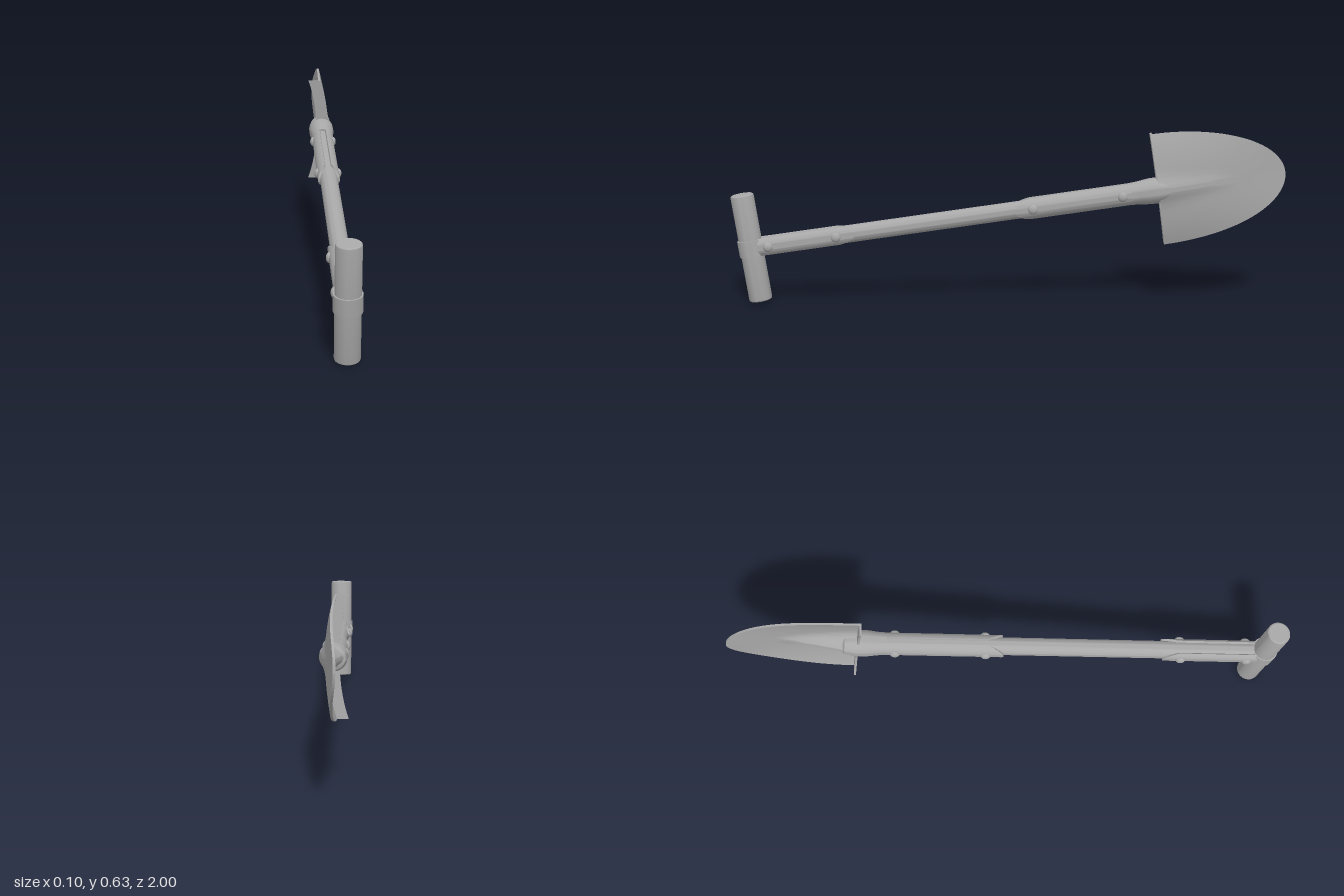
import * as THREE from 'three';
import { toCreasedNormals } from 'three/addons/utils/BufferGeometryUtils.js';

const metal = new THREE.MeshStandardMaterial({ color: 0xa8a8a8 });
metal.name = 'plain grey';

// Closed plate between an outer and an inner surface.
// Each surface is a function of t (0..1 along) and u (-1..1 across) giving [x, y, z].
function plate(rows, cols, outer, inner) {
  const pos = [], index = [], ring = 2 * (cols + 1);
  for (let i = -1; i <= rows + 1; i++) {
    const t = Math.min(Math.max(i / rows, 0), 1);
    const top = i < 0 || i > rows ? inner : outer; // end rings fold to the inner surface
    for (let j = 0; j <= cols; j++) pos.push(...top(t, (2 * j) / cols - 1));
    for (let j = cols; j >= 0; j--) pos.push(...inner(t, (2 * j) / cols - 1));
  }
  for (let i = 0; i < rows + 2; i++) {
    for (let j = 0; j < ring; j++) {
      const a = i * ring + j, b = i * ring + (j + 1) % ring;
      index.push(a, a + ring, b, b, a + ring, b + ring);
    }
  }
  const g = new THREE.BufferGeometry();
  g.setAttribute('position', new THREE.Float32BufferAttribute(pos, 3));
  g.setIndex(index);
  return toCreasedNormals(g, 0.7);
}

// Round part turned about the shaft: points are [radius, distance along shaft]
function turned(points) {
  const g = new THREE.LatheGeometry(points.map(([r, s]) => new THREE.Vector2(r, s)), 32);
  return toCreasedNormals(g.rotateX(-Math.PI / 2), 0.6);
}

// Curved strap hugging the +x side of the shaft, with one rounded end
function strap(s0, s1, halfAngle, roundStart) {
  const surface = (r) => (t, u) => {
    const round = 0.06 * u * u;
    const a = roundStart ? s0 + round : s0;
    const b = roundStart ? s1 : s1 - round;
    const phi = u * halfAngle;
    return [r * Math.cos(phi), r * Math.sin(phi), -(a + (b - a) * t)];
  };
  return plate(6, 16, surface(0.040), surface(0.029));
}

// Dished blade: middle surface, outline and the swelling that carries on from the neck
const START = 1.492, LENGTH = 0.46, HALF = 0.203;
const dish = (v) => 0.022 - 0.03 * Math.pow(Math.abs(v) / HALF, 2.3);
function bladeSurface(side, swell) {
  return (t, u) => {
    const along = Math.sin(t * Math.PI / 2);
    const v = HALF * Math.cos(t * Math.PI / 2) * Math.sign(u) * Math.pow(Math.abs(u), 1.4);
    const fade = Math.max(0, 1 - along / 0.62);
    const width = 0.018 + 0.022 * fade;
    const bump = swell * fade * Math.exp(-Math.pow(v / width, 2));
    const droop = 0.034 * along * along * (1 - Math.pow(v / HALF, 2));
    return [dish(v) - droop + side * (0.004 + bump), v, -(START + LENGTH * along)];
  };
}

// Foot rest following the dished edge of the blade
function footRest() {
  const pts = [];
  const n = 20;
  for (let i = 0; i <= n; i++) {
    const v = HALF * (2 * i / n - 1);
    pts.push(new THREE.Vector2(dish(v) + 0.004, v));
  }
  for (let i = n; i >= 0; i--) {
    const v = HALF * (2 * i / n - 1);
    pts.push(new THREE.Vector2(dish(v) - 0.042, v));
  }
  const g = new THREE.ExtrudeGeometry(new THREE.Shape(pts), { depth: 0.008, bevelEnabled: false });
  return toCreasedNormals(g.translate(0, 0, -START - 0.004), 0.6);
}

export function createModel() {
  const model = new THREE.Group();
  model.name = 'shovel';
  const tool = new THREE.Group(); // shaft runs along -z, grip along y
  tool.name = 'tiltedShovel';
  model.add(tool);
  const add = (name, geometry) => {
    const mesh = new THREE.Mesh(geometry, metal);
    mesh.name = name;
    tool.add(mesh);
    return mesh;
  };

  // Cross grip with softened ends
  const gripProfile = [[0, -0.198], [0.037, -0.198], [0.041, -0.195], [0.042, -0.19],
    [0.042, 0.19], [0.041, 0.195], [0.037, 0.198], [0, 0.198]];
  add('grip', turned(gripProfile).rotateX(Math.PI / 2));
  const collarProfile = [[0.041, -0.029], [0.047, -0.029], [0.047, 0.029], [0.041, 0.029]];
  add('gripCollar', turned(collarProfile).rotateX(Math.PI / 2));

  // Shaft and flared neck
  add('shaft', turned([[0, 0.02], [0.032, 0.02], [0.032, 1.44], [0, 1.44]]));
  add('neck', turned([[0.03, 1.39], [0.040, 1.39], [0.042, 1.42], [0.047, 1.46],
    [0.047, 1.50], [0.040, 1.54], [0, 1.56]]));

  // Straps and rivets on both sides
  for (const side of [1, -1]) {
    const label = side > 0 ? 'left' : 'right';
    const turn = side > 0 ? 0 : Math.PI;
    add(label + 'GripStrap', strap(0.03, 0.385, 0.9, false)).rotation.z = turn;
    add(label + 'BladeStrap', strap(0.97, 1.41, 1.27, true)).rotation.z = turn;
    for (const s of [0.067, 0.316, 1.035, 1.36]) {
      const rivet = add(label + 'Rivet', new THREE.SphereGeometry(0.018, 16, 12));
      rivet.scale.x = 0.65;
      rivet.position.set(side * 0.038, 0, -s);
    }
  }

  // Blade
  add('blade', plate(36, 48, bladeSurface(1, 0.018), bladeSurface(-1, 0.062)));
  add('footRest', footRest());

  tool.rotation.x = 8.3 * Math.PI / 180;
  tool.position.set(0, 0.203, 0.932);
  return model;
}
